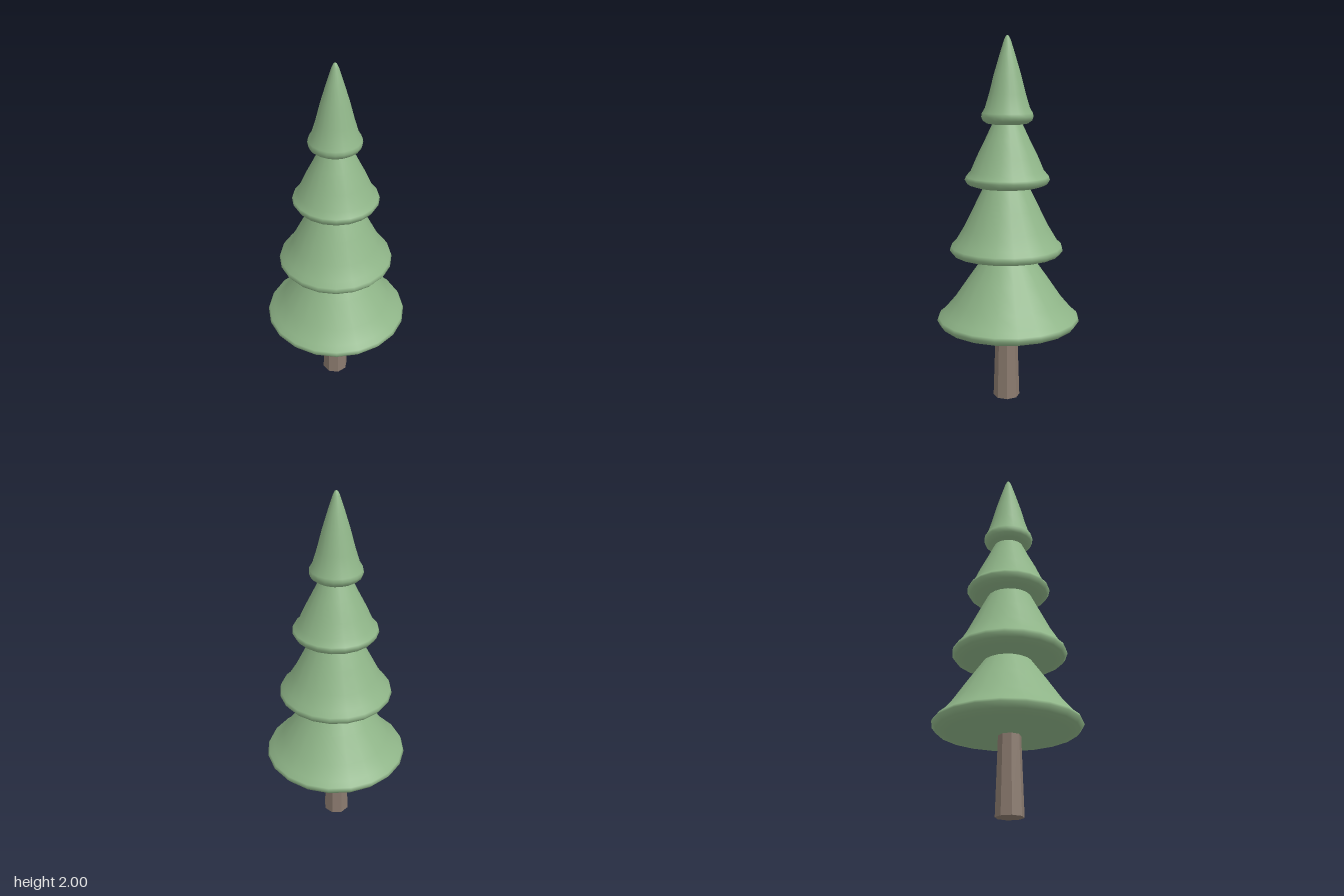
import * as THREE from 'three';

const green = new THREE.MeshStandardMaterial({ color: 0x8fb588 });
const bark = new THREE.MeshStandardMaterial({ color: 0x8a7a6e, flatShading: true });

// Each tier: centre offset and profile [radius, height] from underside to top
const tiers = [
  { name: 'bottomTier', x: 0, z: 0, profile: [
    [0, 0.41], [0.2, 0.415], [0.32, 0.425], [0.375, 0.438], [0.396, 0.465], [0.388, 0.482],
    [0.36, 0.505], [0.3, 0.575], [0.215, 0.7], [0.13, 0.82], [0.1, 0.86], [0, 0.88]] },
  { name: 'lowerMiddleTier', x: 0.007, z: 0.008, profile: [
    [0, 0.812], [0.15, 0.816], [0.25, 0.826], [0.295, 0.838], [0.311, 0.86], [0.305, 0.88],
    [0.28, 0.905], [0.235, 0.98], [0.18, 1.09], [0.125, 1.2], [0.1, 1.24], [0, 1.26]] },
  { name: 'upperMiddleTier', x: 0.003, z: 0.003, profile: [
    [0, 1.2], [0.11, 1.203], [0.18, 1.209], [0.216, 1.222], [0.231, 1.247], [0.225, 1.262],
    [0.2, 1.29], [0.165, 1.37], [0.12, 1.46], [0.082, 1.54], [0.065, 1.57], [0, 1.59]] },
  { name: 'topTier', x: 0.001, z: 0.006, profile: [
    [0, 1.535], [0.07, 1.537], [0.11, 1.544], [0.133, 1.56], [0.14, 1.58], [0.137, 1.598],
    [0.121, 1.625], [0.098, 1.7], [0.072, 1.8], [0.042, 1.9], [0.018, 1.975], [0.008, 1.995], [0, 2]] },
];

export function createModel() {
  const tree = new THREE.Group();
  tree.name = 'tree';

  // Tapered eight-sided trunk
  const trunk = new THREE.Mesh(new THREE.CylinderGeometry(0.059, 0.074, 0.45, 8), bark);
  trunk.name = 'trunk';
  trunk.geometry.rotateY(Math.PI / 8);
  trunk.position.set(0.005, 0.225, 0.011);
  tree.add(trunk);

  // Stacked skirts of foliage with rounded rims
  for (const { name, x, z, profile } of tiers) {
    const points = profile.map(([r, y]) => new THREE.Vector2(r, y));
    const tier = new THREE.Mesh(new THREE.LatheGeometry(points, 20), green);
    tier.name = name;
    tier.position.set(x, 0, z);
    tree.add(tier);
  }
  return tree;
}
